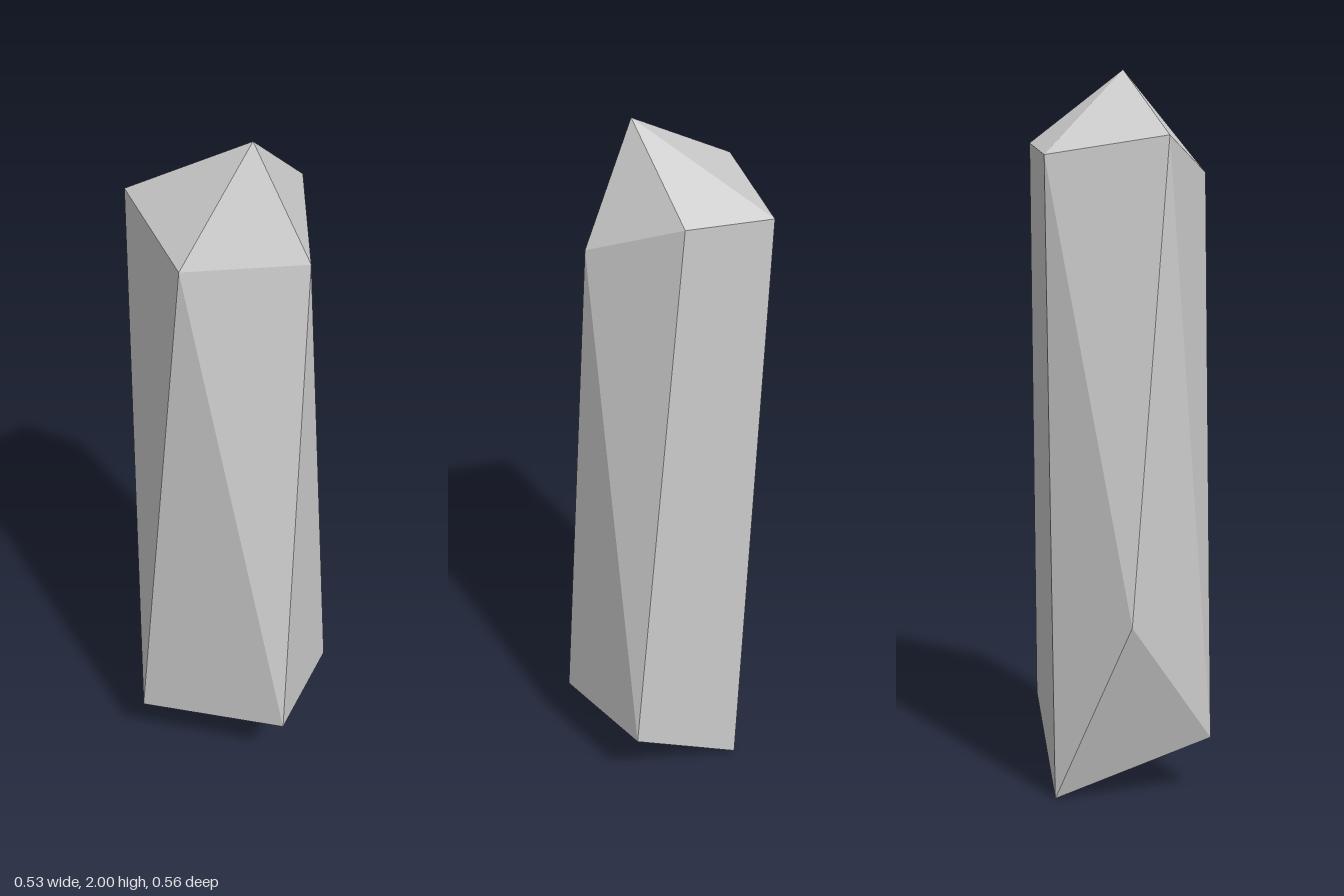
import * as THREE from 'three';

// Irregular five-sided crystal: a pointed tip, a twisted shaft and an obliquely cut base.
const TIP = [0, 2, 0.08];
const SHOULDER = [
  [-0.23, 1.72, 0.06], [0.07, 1.69, 0.22], [0.25, 1.8, 0.01],
  [0.17, 1.765, -0.245], [-0.155, 1.815, -0.225],
];
const BASE = [
  [-0.05, 0.197, 0.28], [0.263, 0.203, 0.145], [0.16, 0, -0.183],
  [-0.065, 0.52, -0.283], [-0.265, 0.165, -0.1],
];

// Flat-faced mesh from a list of triangles, each given by three points
function facetMesh(name, triangles, material) {
  const geometry = new THREE.BufferGeometry();
  geometry.setAttribute('position', new THREE.Float32BufferAttribute(triangles.flat(2), 3));
  geometry.computeVertexNormals();
  const mesh = new THREE.Mesh(geometry, material);
  mesh.name = name;
  return mesh;
}

export function createModel() {
  const stone = new THREE.MeshStandardMaterial({ color: 0xcccccc });
  stone.name = 'paleGreyStone';

  const tip = [], shaft = [];
  for (let i = 0; i < 5; i++) {
    const j = (i + 1) % 5;
    tip.push([TIP, SHOULDER[i], SHOULDER[j]]);
    // Alternating triangles join the two staggered rings
    shaft.push([SHOULDER[i], BASE[i], SHOULDER[j]], [SHOULDER[j], BASE[i], BASE[j]]);
  }
  // Underside fans out from the lowest corner
  const underside = [[1, 0], [0, 4], [4, 3]].map(([a, b]) => [BASE[2], BASE[a], BASE[b]]);

  const crystal = new THREE.Group();
  crystal.name = 'crystal';
  crystal.add(
    facetMesh('crystalTip', tip, stone),
    facetMesh('crystalShaft', shaft, stone),
    facetMesh('crystalUnderside', underside, stone),
  );
  return crystal;
}
